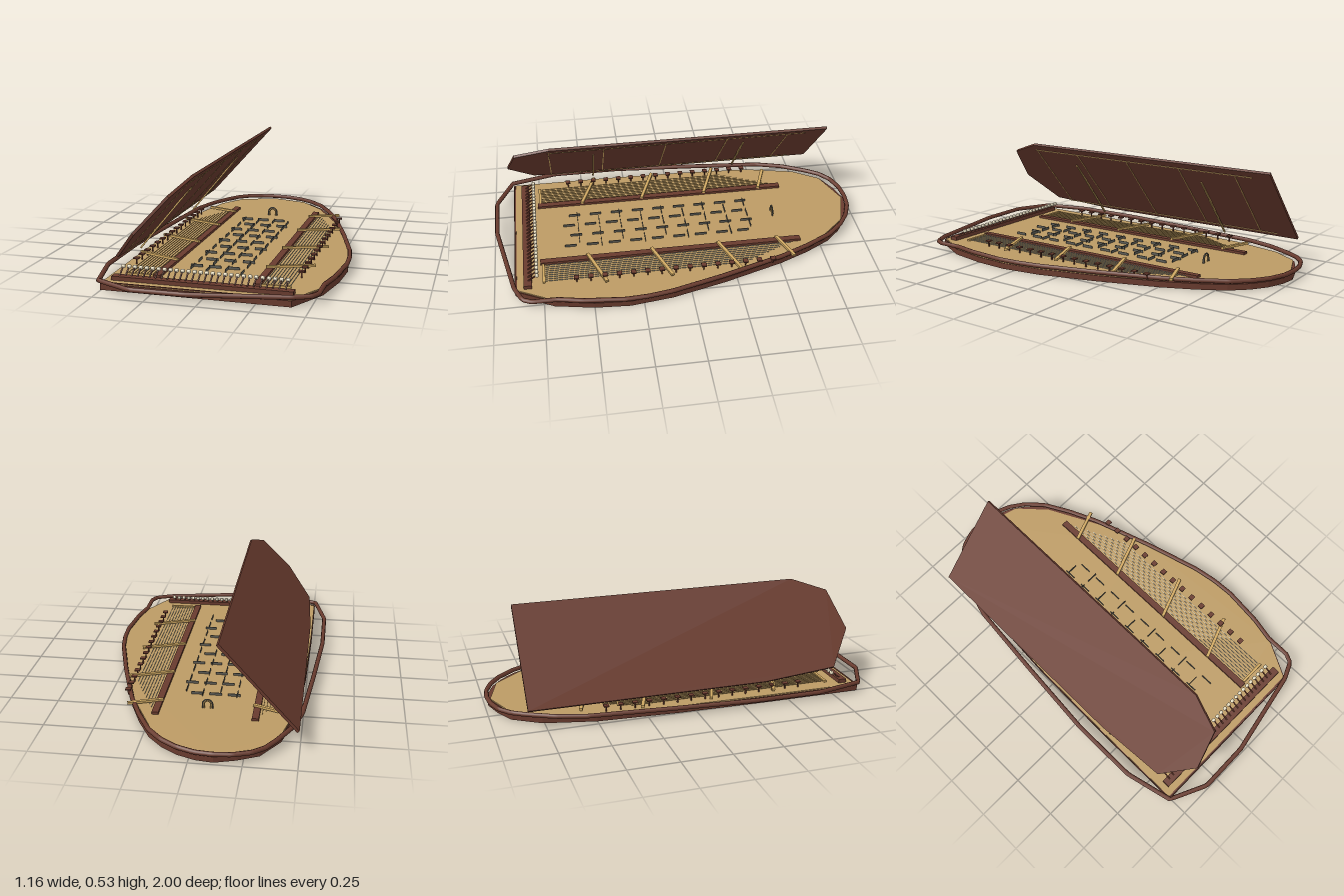
import * as THREE from 'three';
import { RoundedBoxGeometry } from 'three/addons/geometries/RoundedBoxGeometry.js';

const material = (name, color) => {
  const m = new THREE.MeshStandardMaterial({ color });
  m.name = name;
  return m;
};

export function createModel() {
  const model = new THREE.Group();
  model.name = 'stringInstrument';
  const wood = material('redBrownWood', 0x693b2e);
  const board = material('tanSoundboard', 0xbc9b64);
  const brass = material('paleBrass', 0xcfa862);
  const ivory = material('ivory', 0xe6dcc0);
  const iron = material('greyIron', 0x5c5b54);
  const steel = material('stringSteel', 0xc4c2b4);
  const MID = -0.0275; // symmetry line of the fittings

  const add = (name, geo, mat, x = 0, y = 0, z = 0, parent = model) => {
    const m = new THREE.Mesh(geo, mat);
    m.name = name;
    m.position.set(x, y, z);
    parent.add(m);
    return m;
  };
  const box = (name, mat, w, h, d, x, y, z, parent) =>
    add(name, new THREE.BoxGeometry(w, h, d), mat, x, y, z, parent);
  const group = (name) => {
    const g = new THREE.Group();
    g.name = name;
    model.add(g);
    return g;
  };
  // straight bar between two points
  const bar = (name, mat, a, b, w, h, parent) => {
    const A = new THREE.Vector3(...a), B = new THREE.Vector3(...b);
    const m = box(name, mat, w, h, A.distanceTo(B), 0, 0, 0, parent);
    m.position.copy(A).add(B).multiplyScalar(0.5);
    m.lookAt(B);
    return m;
  };
  // flat slab from an [x, z] outline
  const slab = (name, mat, pts, y, h) => {
    const shape = new THREE.Shape(pts.map(([x, z]) => new THREE.Vector2(x, -z)));
    const geo = new THREE.ExtrudeGeometry(shape, { depth: h, bevelEnabled: false });
    geo.rotateX(-Math.PI / 2);
    return add(name, geo, mat, 0, y, 0);
  };

  // body and soundboard
  const front = [[-0.505, 0.895], [0.415, 0.895], [0.52, 0.7], [0.56, 0.5], [0.572, 0.32], [0.543, 0.1]];
  const leftEdge = [[-0.32, -0.9], [-0.41, -0.76], [-0.47, -0.5], [-0.495, -0.1], [-0.505, 0.4]];
  slab('body', wood, [
    ...front, [0.467, -0.185], [0.362, -0.505], [0.292, -0.665], [0.218, -0.798], [0.14, -0.882],
    [0.06, -0.937], [-0.03, -0.972], [-0.116, -0.983], [-0.22, -0.95], ...leftEdge,
  ], 0, 0.03);
  const boardOutline = [
    ...front, [0.46, -0.2], [0.36, -0.49], [0.217, -0.775], [0.085, -0.92], [-0.116, -0.978], ...leftEdge,
  ];
  slab('soundboard', board, boardOutline.map(([x, z]) => [x * 0.993, z * 0.993]), 0.03, 0.006);

  // rim: a bent moulding around the body
  const rimPoints = [
    [-0.51, 0.898], [-0.57, 0.65], [-0.57, 0.29], [-0.535, -0.15], [-0.497, -0.555],
    [-0.455, -0.7], [-0.39, -0.83], [-0.345, -0.9], [-0.285, -0.95], [-0.2, -0.98],
    [-0.116, -0.988], [-0.03, -0.98], [0.06, -0.945], [0.14, -0.89], [0.217, -0.805], [0.29, -0.67],
    [0.36, -0.51], [0.465, -0.185], [0.545, 0.105], [0.565, 0.23], [0.571, 0.345],
    [0.55, 0.555], [0.523, 0.68], [0.522, 0.81], [0.5, 0.857], [0.41, 0.897],
    [-0.05, 0.985], [-0.32, 0.988],
  ].map(([x, z]) => new THREE.Vector3(x, 0.047, z));
  const path = new THREE.CurvePath();
  rimPoints.forEach((p, i) => path.add(new THREE.LineCurve3(p, rimPoints[(i + 1) % rimPoints.length])));
  add('rim', new THREE.TubeGeometry(path, 240, 0.0118, 8, true), wood);

  // raised lid: local x runs up the slope, local z along the body
  const lid = group('lid');
  lid.position.set(-0.49, 0.105, 0);
  const L = Math.hypot(0.375, 0.415);
  lid.rotation.z = Math.atan2(0.415, 0.375);
  const lidPanel = slab('lidPanel', wood, [
    [0, -0.84], [0, 0.38], [0.06 * L, 0.77], [0.43 * L, 0.905], [0.85 * L, 0.855], [L, 0.67], [L, -0.84],
  ], -0.006, 0.014);
  lid.add(lidPanel);
  for (const z of [0.67, 0.375, 0.04, -0.295, -0.63])
    box('lidRib', brass, 0.86 * L, 0.003, 0.005, 0.48 * L, -0.0065, z, lid);
  for (const u of [0.045, 0.92]) box('lidRail', brass, 0.006, 0.003, 1.41, u * L, -0.0065, -0.025, lid);

  // prop sticks under the lid
  for (const z of [0.43, -0.4])
    bar('lidProp', brass, [-0.485, 0.075, z], [-0.207, 0.41, z], 0.008, 0.008);

  // key rail with a row of leaning keys
  box('keyRail', wood, 0.88, 0.02, 0.042, MID, 0.046, 0.828);
  box('frontEdge', wood, 0.91, 0.004, 0.008, -0.045, 0.036, 0.888);
  const keys = group('keys');
  const headGeo = new RoundedBoxGeometry(0.02, 0.018, 0.018, 2, 0.006);
  for (let i = 0; i < 28; i++) {
    const x = -0.434 + i * 0.02985;
    bar('keyStem', wood, [x, 0.055, 0.825], [x, 0.084, 0.785], 0.006, 0.006, keys);
    add('keyHead', headGeo, ivory, x, 0.087, 0.779, keys);
  }

  // bridges, braces, strings and tuning pads on both sides
  for (const s of [1, -1]) {
    const side = group(s > 0 ? 'leftStrings' : 'rightStrings');
    const X = (x) => MID + s * (x - MID);
    box('bridge', wood, 0.034, 0.014, 1.4, X(0.219), 0.042, 0.06, side);
    for (const [z, end] of [[-0.51, 0.37], [-0.19, 0.43], [0.17, 0.43], [0.51, 0.43]])
      bar('brace', brass, [X(0.2), 0.053, z], [X(end), 0.053, z - (end - 0.2) * 0.37], 0.017, 0.012, side);
    for (let i = 0; i < 9; i++) {
      const x = 0.248 + i * 0.0155, z0 = -0.58 + i * 0.033;
      box('string', s > 0 ? steel : brass, 0.0025, 0.0025, 0.735 - z0, X(x), 0.043, (0.735 + z0) / 2, side);
    }
    box('stringBlock', brass, 0.14, 0.01, 0.014, X(0.31), 0.041, 0.745, side);
    for (let i = 0; i < 15; i++) {
      const z = -0.45 + i * 0.0735;
      box('padStem', wood, 0.006, 0.03, 0.006, X(0.393), 0.05, z, side);
      box('padCap', wood, 0.028, 0.007, 0.026, X(0.393), 0.067, z, side);
    }
  }

  // lattice of thin upright plates in the middle
  const lattice = group('lattice');
  for (let r = 0; r < 9; r++) {
    const z = -0.4 + r * 0.118;
    for (let c = -1; c <= 1; c++) {
      const x = MID + c * 0.095 + (r % 2 ? 0.022 : -0.022);
      box('crossPlate', iron, 0.062, 0.014, 0.003, x, 0.043, z, lattice);
    }
    for (let c = 0; c < 4; c++)
      box('longPlate', iron, 0.003, 0.014, 0.062, MID + (c - 1.5) * 0.088, 0.043,
        z + (c % 2 ? 0.05 : 0.015), lattice);
  }

  // small standing arch behind the lattice
  const arch = group('arch');
  arch.position.set(MID, 0.058, -0.54);
  add('archRing', new THREE.TorusGeometry(0.025, 0.004, 6, 20, Math.PI), iron, 0, 0, 0, arch);
  add('archInner', new THREE.TorusGeometry(0.016, 0.003, 6, 16, Math.PI), brass, 0, 0, 0, arch);
  for (const s of [-1, 1]) {
    box('archLeg', iron, 0.007, 0.024, 0.007, s * 0.025, -0.012, 0, arch);
    box('archInnerLeg', brass, 0.005, 0.024, 0.005, s * 0.016, -0.012, 0, arch);
  }

  return model;
}
